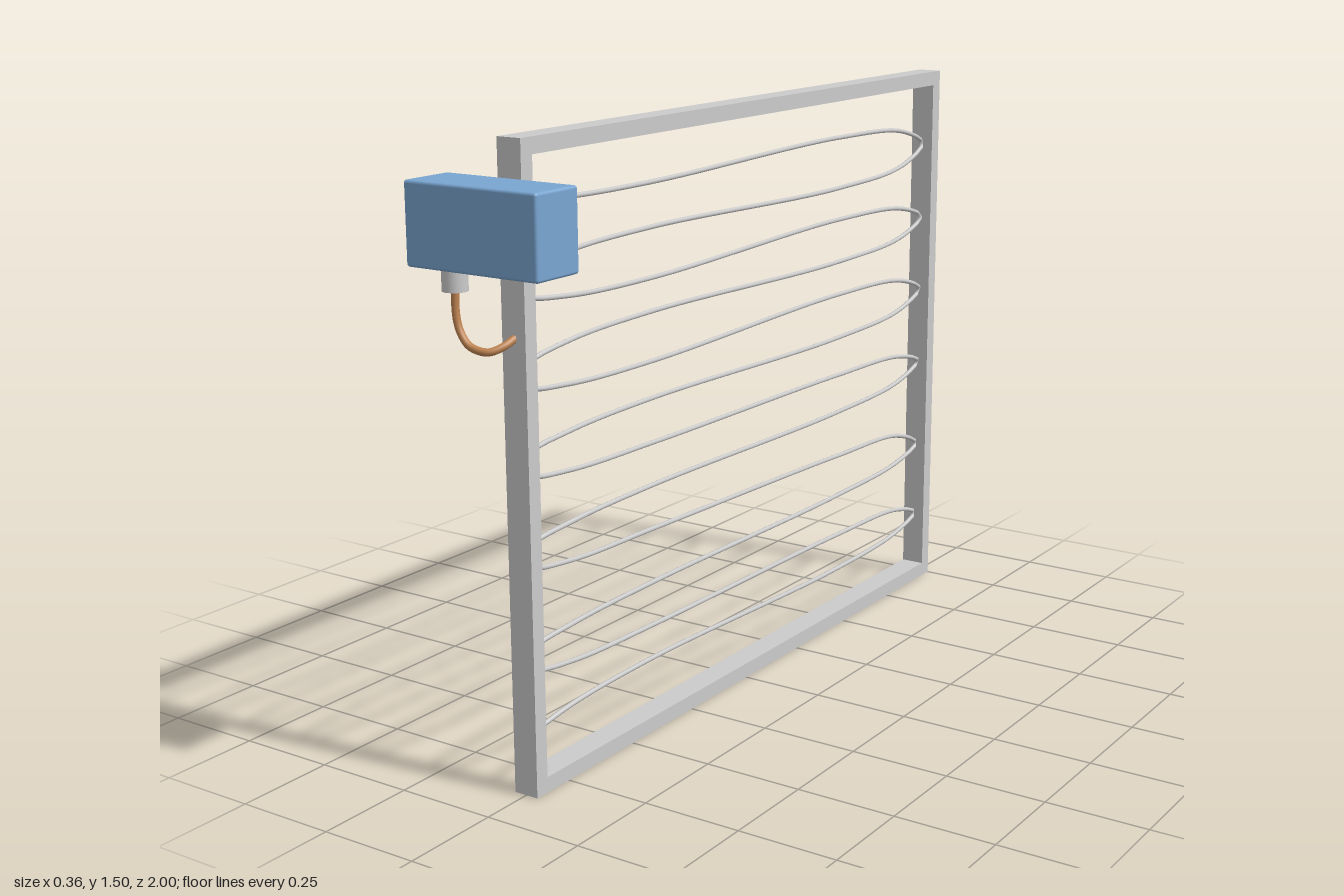
import * as THREE from 'three';
import { RoundedBoxGeometry } from 'three/addons/geometries/RoundedBoxGeometry.js';

const lerp = THREE.MathUtils.lerp;

function makeMesh(name, geometry, color = 0xcccccc) {
  const mesh = new THREE.Mesh(geometry, new THREE.MeshStandardMaterial({ color }));
  mesh.name = name;
  return mesh;
}

// Rectangular outline in the (z, y) plane
function rectangle(path, z0, y0, z1, y1) {
  path.moveTo(z0, y0);
  path.lineTo(z1, y0);
  path.lineTo(z1, y1);
  path.lineTo(z0, y1);
  path.closePath();
  return path;
}

// Upright rectangular frame with an open middle
function frameGeometry() {
  const shape = rectangle(new THREE.Shape(), -1, 0, 0.866, 1.495);
  shape.holes.push(rectangle(new THREE.Path(), -0.962, 0.038, 0.828, 1.457));
  const geometry = new THREE.ExtrudeGeometry(shape, { depth: 0.064, bevelEnabled: false });
  geometry.translate(0, 0, -0.032);
  geometry.rotateY(-Math.PI / 2);
  return geometry;
}

// One slightly wavy wire that runs back and forth between the two posts
function wireGeometry() {
  // Heights of each strand near the front and near the back, from the top down
  const strands = [
    [1.34, 1.355], [1.235, 1.22], [1.115, 1.135], [1.035, 1.02],
    [0.915, 0.93], [0.825, 0.81], [0.715, 0.705], [0.61, 0.6],
    [0.5, 0.475], [0.365, 0.36], [0.255, 0.245], [0.17, 0.145],
  ];
  const backTurns = [1.29, 1.08, 0.87, 0.655, 0.405, 0.19];
  const frontTurns = [1.175, 0.972, 0.772, 0.56, 0.317];
  const points = [];
  const add = (z, y) => points.push(new THREE.Vector3(0, y, z));

  strands.forEach(([yFront, yBack], i) => {
    const turn = i >> 1;
    const goingBack = i % 2 === 0;
    const frontSide = goingBack ? -1 : 1;
    const isEnd = i === 0 || i === strands.length - 1;
    const yPost = i === 0 ? 1.36 : isEnd ? 0.145
      : frontTurns[goingBack ? turn - 1 : turn] + frontSide * 0.024;
    const strand = [
      [0.83, yPost],
      [0.68, lerp(yPost, yFront, 0.7)],
      [0.35, yFront],
      [-0.5, yBack],
      [-0.85, lerp(backTurns[turn], yBack, 0.7)],
    ];
    if (isEnd) strand.unshift([0.845, yPost]);
    if (!goingBack) strand.reverse();
    strand.forEach(([z, y]) => add(z, y));
    // Bend at the end of the strand
    if (goingBack) add(-0.965, backTurns[turn]);
    else if (!isEnd) add(0.848, frontTurns[turn]);
  });
  return new THREE.TubeGeometry(new THREE.CatmullRomCurve3(points), 720, 0.006, 8);
}

// Curved pipe from the fitting under the box to the front post
function pipeGeometry() {
  const curve = new THREE.CatmullRomCurve3([
    [-0.108, 1.18, 0.926], [-0.108, 1.115, 0.926], [-0.098, 1.078, 0.926],
    [-0.073, 1.049, 0.926], [-0.03, 1.039, 0.918], [-0.008, 1.049, 0.892],
    [0, 1.064, 0.86],
  ].map((p) => new THREE.Vector3(...p)));
  return new THREE.TubeGeometry(curve, 48, 0.009, 12);
}

export function createModel() {
  const model = new THREE.Group();
  model.name = 'wireFramePanel';

  model.add(makeMesh('frame', frameGeometry()));
  model.add(makeMesh('serpentineWire', wireGeometry()));

  // Control box on the front post
  const box = makeMesh('controlBox', new RoundedBoxGeometry(0.356, 0.186, 0.14, 3, 0.007), 0x7aa6d2);
  box.position.set(0, 1.315, 0.93);
  model.add(box);

  // Cylindrical fitting below the box
  const fitting = makeMesh('pipeFitting', new THREE.CylinderGeometry(0.029, 0.029, 0.065, 32));
  fitting.position.set(-0.108, 1.1985, 0.926);
  model.add(fitting);

  model.add(makeMesh('copperPipe', pipeGeometry(), 0xc08552));
  return model;
}
